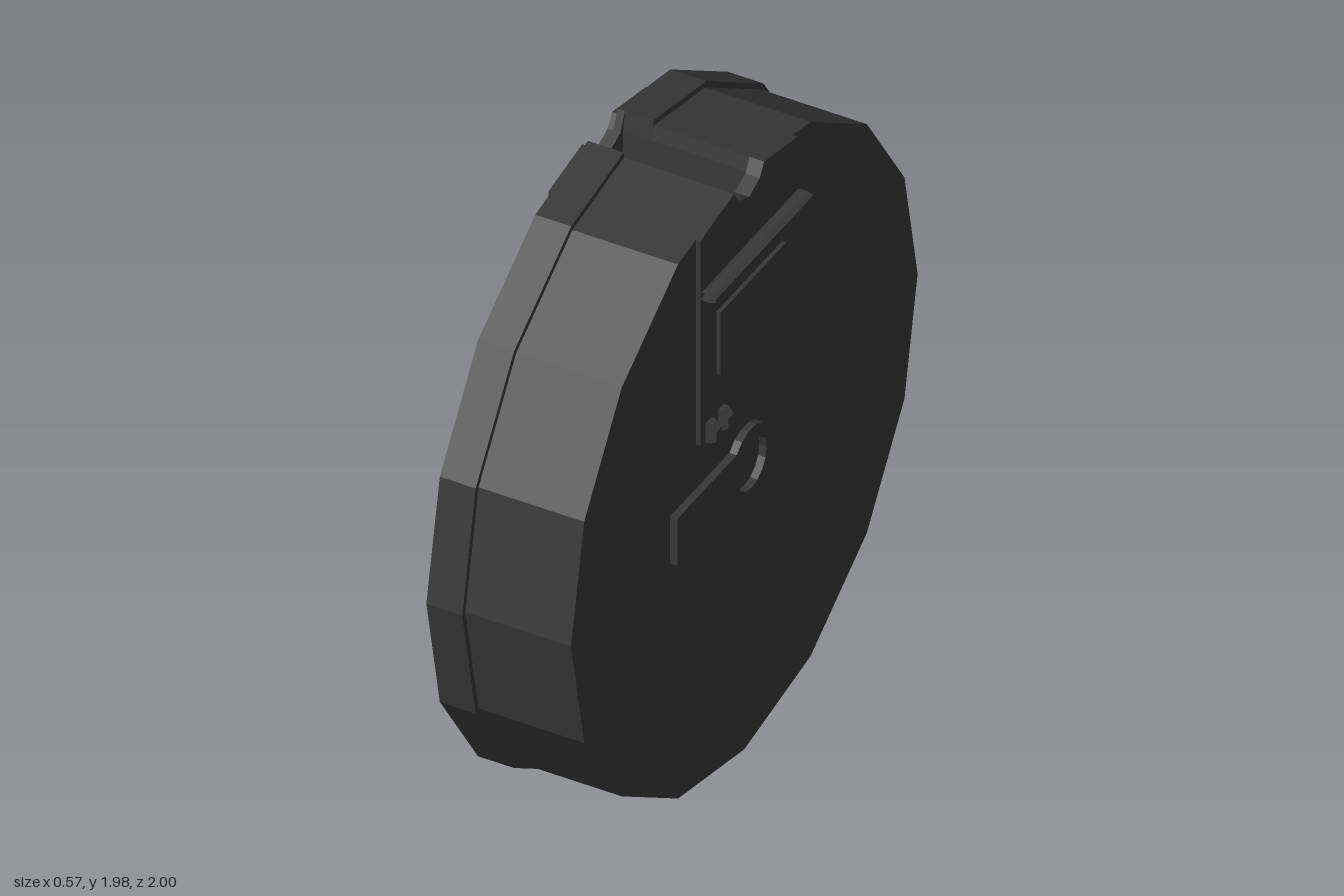
import * as THREE from 'three';

export function createModel() {
  const model = new THREE.Group();
  const dark = new THREE.MeshStandardMaterial({ color: 0x383838 });
  dark.name = 'darkGrey';
  const darkOpen = dark.clone(); // same paint for open, thin surfaces
  darkOpen.side = THREE.DoubleSide;

  const add = (name, geometry, material = dark) => {
    const mesh = new THREE.Mesh(geometry, material);
    mesh.name = name;
    model.add(mesh);
    return mesh;
  };
  const toShape = (pts) => new THREE.Shape(pts.map(([a, b]) => new THREE.Vector2(a, b)));
  const ringPoints = (r, n, cy = 1) => Array.from({ length: n }, (_, i) => {
    const a = (i / n) * Math.PI * 2;
    return [Math.cos(a) * r, cy + Math.sin(a) * r];
  });
  const holePath = (r, n) => new THREE.Path(ringPoints(r, n).map(([a, b]) => new THREE.Vector2(a, b)));

  // Side outlines hold (-z, y) points and are extruded from x0 to x1
  const slab = (name, shape, x0, x1) => {
    const g = new THREE.ExtrudeGeometry(shape, { depth: x1 - x0, bevelEnabled: false });
    g.rotateY(Math.PI / 2);
    g.translate(x0, 0, 0);
    return add(name, g);
  };

  // Notch outlines at the top, right to left
  const vNotch = [[0.06, 1.925], [0, 1.9], [-0.06, 1.925]];
  const pocket = [[0.075, 1.92], [0.07, 1.8], [-0.07, 1.8], [-0.075, 1.92]];
  const topAt = (r, z) => 1 + r - Math.abs(z) * Math.tan(Math.PI / 16);
  const notched = (r, notch) => [[0.085, topAt(r, 0.085)], ...notch, [-0.085, topAt(r, 0.085)]];

  // Sixteen-sided drum section with its top corner replaced by a notch
  const drumShape = (r, notch, hole) => {
    const pts = ringPoints(r, 16);
    pts.splice(4, 1, ...notched(r, notch));
    const s = toShape(pts);
    if (hole) s.holes.push(holePath(hole, 12));
    return s;
  };
  const R = 1, B = 0.982;
  slab('rimWall', drumShape(R, vNotch, 0.165), -0.222, -0.2);
  slab('rim', drumShape(R, pocket, 0.165), -0.2, -0.11);
  slab('body', drumShape(B, pocket), -0.11, 0.19);
  slab('bodyWall', drumShape(B, vNotch), 0.19, 0.22);

  // Tapered round recess in the middle of the rim side
  const cup = new THREE.LatheGeometry(
    [[0.165, 0.222], [0.135, 0.175], [0, 0.175]].map(([a, b]) => new THREE.Vector2(a, b)), 12)
    .toNonIndexed();
  cup.rotateZ(Math.PI / 2);
  cup.translate(0, 1, 0);
  cup.computeVertexNormals();
  add('hubRecess', cup, darkOpen);

  // Cover plates with chamfered lower corners, one on each side
  const plateShape = (bottom, r) => toShape([
    [-0.215, bottom], [0.215, bottom], [0.275, bottom + 0.05], [0.275, topAt(r, 0.275)],
    ...notched(r, vNotch), [-0.275, topAt(r, 0.275)], [-0.275, bottom + 0.05]]);
  slab('rightPlate', plateShape(1.3, B), -0.24, -0.222);
  slab('leftPlate', plateShape(1.18, B), 0.22, 0.235);

  for (const side of [-1, 1]) {
    const name = side < 0 ? 'right' : 'left';
    // Raised rectangular window panel
    const panel = add(name + 'Panel', new THREE.BoxGeometry(0.02, 0.21, 0.372));
    panel.position.set(side * 0.238, 1.525, 0);
    // Hollow flattened finger rail
    const rail = new THREE.CylinderGeometry(1, 1, 0.55, 8, 1, true).toNonIndexed();
    rail.rotateX(Math.PI / 2);
    rail.rotateZ(Math.PI / 8);
    rail.scale(0.031, 0.014, 1);
    rail.computeVertexNormals();
    add(name + 'Rail', rail, darkOpen).position.set(side * 0.255, 1.74, 0);
  }

  // Pair of small hooked catches on the left plate
  const hook = toShape([[0.23, 1.225], [0.25, 1.225], [0.268, 1.237], [0.268, 1.27], [0.248, 1.29], [0.23, 1.29]]);
  for (const z of [0.23, 0.16]) {
    const g = new THREE.ExtrudeGeometry(hook, { depth: 0.032, bevelEnabled: false });
    g.translate(0, 0, z - 0.016);
    add('catch', g);
  }

  // Winding key: ring and flat handle in one outline
  const keyStart = Math.PI - Math.asin(0.08 / 0.117);
  const key = [[-0.42, 1.08], [-0.42, 0.92], [-0.1, 0.92]];
  for (let i = 0; i <= 14; i++) {
    const a = -keyStart + (i / 14) * keyStart * 2;
    key.push([Math.cos(a) * 0.117, 1 + Math.sin(a) * 0.117]);
  }
  key.push([-0.1, 1.08]);
  const keyShape = toShape(key);
  keyShape.holes.push(holePath(0.085, 16));
  slab('windingKey', keyShape, 0.22, 0.243);

  return model;
}
